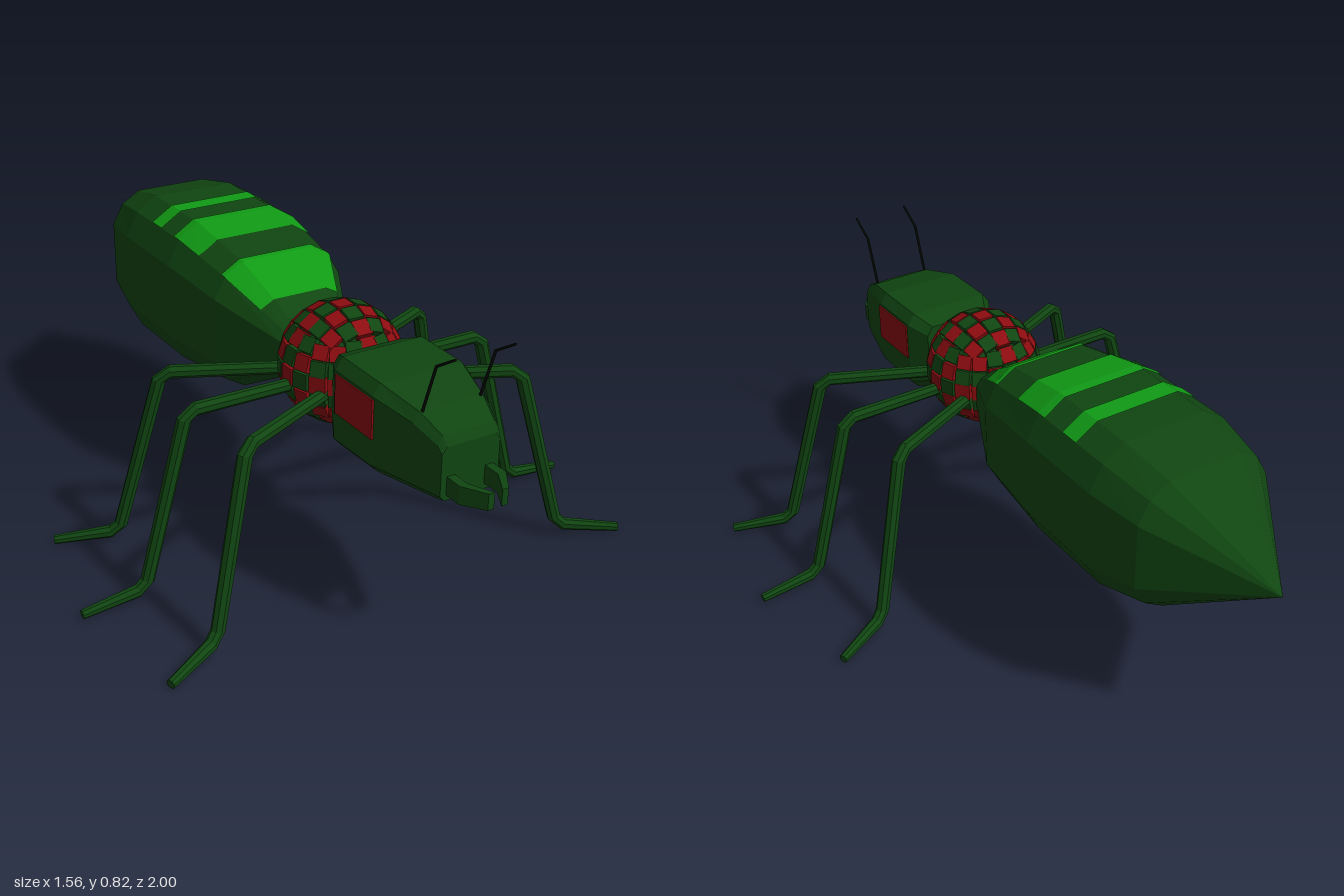
import * as THREE from 'three';
import { mergeGeometries } from 'three/addons/utils/BufferGeometryUtils.js';

const mats = {};
for (const [name, color] of [['darkGreen', 0x104511], ['brightGreen', 0x109a14], ['red', 0x8c0c10], ['black', 0x081008]]) {
  mats[name] = new THREE.MeshStandardMaterial({ color });
  mats[name].name = name;
}

// Flat-faced skin over rings of points; closed rings also get end caps
function loft(rings, closed = true) {
  const out = [];
  const tri = (...pts) => pts.forEach((p) => out.push(p.x, p.y, p.z));
  const n = rings[0].length;
  for (let i = 0; i < rings.length - 1; i++) {
    for (let k = 0; k < (closed ? n : n - 1); k++) {
      const a = rings[i][k], b = rings[i][(k + 1) % n];
      const d = rings[i + 1][k], c = rings[i + 1][(k + 1) % n];
      tri(a, d, b);
      tri(b, d, c);
    }
  }
  if (closed) {
    const first = rings[0], last = rings[rings.length - 1];
    for (let k = 1; k < n - 1; k++) {
      tri(first[0], first[k], first[k + 1]);
      tri(last[0], last[k + 1], last[k]);
    }
  }
  const g = new THREE.BufferGeometry();
  g.setAttribute('position', new THREE.Float32BufferAttribute(out, 3));
  g.computeVertexNormals();
  return g;
}

// Ring across z: s = [z, halfWidth, bottom, top, centreX]
const section = (profile, [z, w, y0, y1, cx = 0], grow = 0) => profile.map(([px, py]) =>
  new THREE.Vector3(cx + px * (w + grow), (y0 + y1) / 2 + py * ((y1 - y0) / 2 + grow), z));

// Tube in the xy plane along points [x, y, radius]
function tube(points, sides) {
  return loft(points.map(([x, y, r], i) => {
    const p = points[Math.max(i - 1, 0)], q = points[Math.min(i + 1, points.length - 1)];
    const t = new THREE.Vector2(q[0] - p[0], q[1] - p[1]).normalize();
    return Array.from({ length: sides }, (_, k) => {
      const a = ((k + 0.5) / sides) * Math.PI * 2, s = Math.sin(a) * r;
      return new THREE.Vector3(x - t.y * s, y + t.x * s, Math.cos(a) * r);
    });
  }));
}

// Mirrors a right-hand outline into a full anticlockwise ring
const fullRing = (half) => [...half, ...half.slice().reverse().map(([x, y]) => [-x, y])];
const ROUND = fullRing([[0.55, -1], [0.83, -0.82], [1, -0.5], [1, 0.5], [0.83, 0.82], [0.55, 1]]);
const BOXY = fullRing([[0.84, -1], [1, -0.8], [1, 0.75], [0.84, 1]]);
const SQUARE = fullRing([[1, -1], [1, 1]]);
const BACK = [[0.83, 0.82], [0.55, 1], [-0.55, 1], [-0.83, 0.82]];

const ABDOMEN = [
  [0.25, 0.08, 0.5, 0.58], [0.175, 0.11, 0.47, 0.62], [-0.02, 0.203, 0.365, 0.745],
  [-0.26, 0.228, 0.338, 0.787], [-0.54, 0.23, 0.335, 0.787], [-0.7, 0.203, 0.375, 0.756],
  [-1, 0.001, 0.554, 0.556],
];

function abdomenAt(z) {
  const i = ABDOMEN.findIndex((s, k) => k > 0 && z >= s[0]);
  const a = ABDOMEN[i - 1], b = ABDOMEN[i];
  return a.map((v, k) => v + (b[k] - v) * ((z - a[0]) / (b[0] - a[0])));
}

export function createModel() {
  const model = new THREE.Group();
  model.name = 'ant';
  const add = (name, geometry, mat, parent = model) => {
    const m = new THREE.Mesh(geometry, mats[mat]);
    m.name = name;
    parent.add(m);
    return m;
  };

  // Abdomen and its bright stripes
  add('abdomen', loft(ABDOMEN.map((s) => section(ROUND, s))), 'darkGreen');
  for (const [z0, z1] of [[0.1, -0.035], [-0.15, -0.29], [-0.37, -0.43]]) {
    const zs = [z0, ...ABDOMEN.map((s) => s[0]).filter((z) => z < z0 && z > z1), z1];
    add('abdomenStripe', loft(zs.map((z) => section(BACK, abdomenAt(z), 0.003)), false), 'brightGreen');
  }

  // Thorax: round core covered with a checker of raised tiles, five by five on each of six sides
  const centre = new THREE.Vector3(0, 0.555, 0.315);
  add('thoraxCore', new THREE.IcosahedronGeometry(0.156, 2), 'darkGreen').position.copy(centre);
  const tiles = { red: [], darkGreen: [] };
  const turns = [[0, 0], [0, 1], [0, 2], [0, 3], [1, 0], [-1, 0]];
  for (const [rx, ry] of turns) {
    const turn = new THREE.Matrix4().makeRotationFromEuler(new THREE.Euler(rx * Math.PI / 2, ry * Math.PI / 2, 0));
    for (let i = -2; i <= 2; i++) {
      for (let j = -2; j <= 2; j++) {
        const step = Math.PI / 10;
        const dir = new THREE.Vector3(Math.tan(i * step), Math.tan(j * step), 1).normalize();
        const size = 0.046 - 0.0025 * Math.min(Math.abs(i), Math.abs(j));
        const g = new THREE.BoxGeometry(size, size, 0.03);
        g.translate(0, 0, 0.153);
        g.applyMatrix4(new THREE.Matrix4().lookAt(dir, new THREE.Vector3(), new THREE.Vector3(0, 1, 0)));
        g.applyMatrix4(turn);
        tiles[(i + j) % 2 === 0 ? 'red' : 'darkGreen'].push(g);
      }
    }
  }
  for (const mat of ['red', 'darkGreen']) {
    add('thoraxTiles', mergeGeometries(tiles[mat]), mat).position.copy(centre);
  }

  // Head
  add('head', loft([
    [0.89, 0.085, 0.44, 0.585], [0.875, 0.09, 0.438, 0.61], [0.805, 0.11, 0.435, 0.645],
    [0.68, 0.143, 0.43, 0.673], [0.51, 0.143, 0.425, 0.675], [0.45, 0.11, 0.45, 0.65],
  ].map((s) => section(BOXY, s))), 'darkGreen');

  for (const side of [1, -1]) {
    // Side eye panel
    add('eye', new THREE.BoxGeometry(0.008, 0.107, 0.167), 'red').position.set(side * 0.143, 0.582, 0.602);

    // Jaw, bent inwards at the tip
    add('jaw', loft([
      [1, 0.009, 0.458, 0.503, side * 0.02], [0.94, 0.012, 0.455, 0.505, side * 0.056],
      [0.86, 0.012, 0.455, 0.505, side * 0.056],
    ].map((s) => section(SQUARE, s))), 'darkGreen');

    // Antenna
    const antenna = add('antenna', tube([[0.8, 0.63, 0.004], [0.85, 0.78, 0.004], [0.92, 0.825, 0.003]], 6), 'black');
    antenna.rotation.y = -Math.PI / 2;
    antenna.position.x = side * 0.085;
  }

  // Legs: three on each side, fanned out
  const leg = tube([
    [0.06, 0.525, 0.018], [0.44, 0.525, 0.019], [0.47, 0.503, 0.02],
    [0.592, 0.06, 0.019], [0.622, 0.034, 0.018], [0.78, 0.015, 0.013],
  ], 8);
  for (const side of [1, -1]) {
    for (const [name, k] of [['frontLeg', 1], ['middleLeg', 0], ['backLeg', -1]]) {
      const m = add(name, leg, 'darkGreen');
      m.position.z = 0.318 + k * 0.042;
      m.rotation.y = (side > 0 ? 0 : Math.PI) - side * k * 0.435;
    }
  }
  return model;
}
